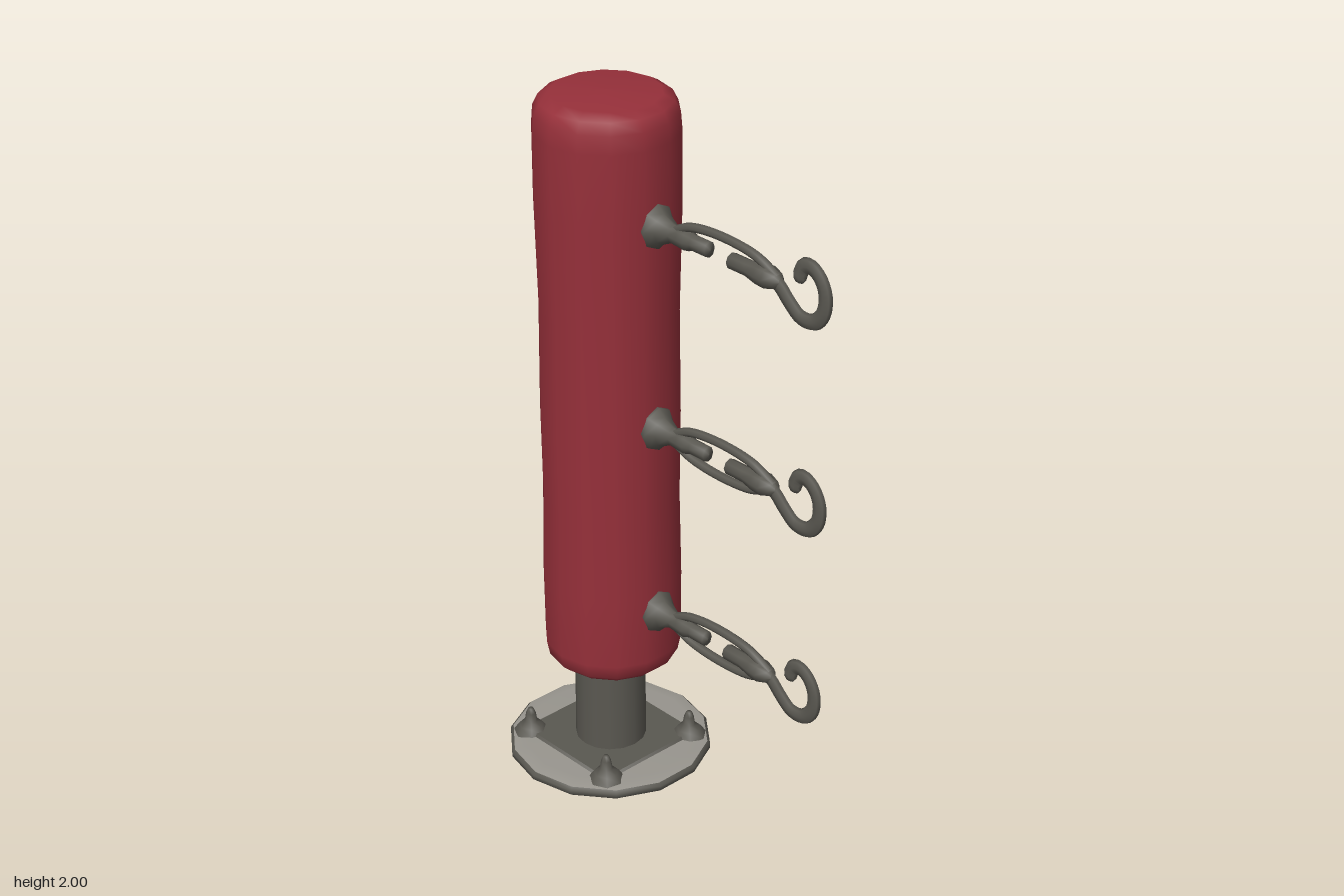
import * as THREE from 'three';

const mat = (name, color, side = THREE.FrontSide) => {
  const m = new THREE.MeshStandardMaterial({ color, side });
  m.name = name;
  return m;
};

export function createModel() {
  const model = new THREE.Group();
  const red = mat('red padding', 0x96303a);
  const steel = mat('dark steel', 0x5a5851);
  const pale = mat('worn steel', 0x98958e);

  const add = (parent, name, geo, material, x = 0, y = 0, z = 0) => {
    const m = new THREE.Mesh(geo, material);
    m.name = name;
    m.position.set(x, y, z);
    parent.add(m);
    return m;
  };
  const lathe = (pts, n) => new THREE.LatheGeometry(pts.map(p => new THREE.Vector2(...p)), n);

  // Padded column with soft ends and slightly uneven sides
  const pad = lathe([[0, 0.325], [0.11, 0.325], [0.16, 0.33], [0.182, 0.35], [0.19, 0.39], [0.192, 0.6],
    [0.187, 0.85], [0.19, 1.1], [0.187, 1.4], [0.194, 1.7], [0.194, 1.9], [0.19, 1.95],
    [0.175, 1.98], [0.145, 1.996], [0, 2.0]], 14);
  add(model, 'paddedColumn', pad, red, -0.247);

  // Post and round foot
  add(model, 'post', new THREE.CylinderGeometry(0.098, 0.1, 0.32, 16, 1, true), steel, -0.26, 0.19);
  const cx = -0.265;
  add(model, 'footRim', lathe([[0, 0.005], [0.275, 0.005], [0.288, 0.015], [0.288, 0.028], [0.28, 0.036]], 14), steel, cx);
  add(model, 'footTop', lathe([[0.28, 0.036], [0.24, 0.044], [0, 0.046]], 14), pale, cx);
  // Square dark plate reaching out to the four bolts
  add(model, 'footPlate', new THREE.CylinderGeometry(0.24, 0.25, 0.008, 4), steel, cx, 0.047).rotation.y = Math.PI / 4;

  // Spiked bolts
  for (const sx of [-1, 1]) for (const sz of [-1, 1]) {
    add(model, 'bolt', lathe([[0.05, 0.04], [0.035, 0.062], [0.018, 0.075], [0.014, 0.1], [0.008, 0.115], [0, 0.116]], 7),
      steel, cx + sx * 0.16, 0, sz * 0.158);
  }

  // Tube through points in the xy plane, flattened in z
  const bar = (pts, r, flat) => {
    const curve = new THREE.CatmullRomCurve3(pts.map(([x, y]) => new THREE.Vector3(x, y, 0)));
    return new THREE.TubeGeometry(curve, pts.length * 3, r, 7, false).scale(1, 1, flat);
  };
  // Solid of revolution along x, as [x, radius] pairs, scaled in z
  const spindle = (pts, flat) =>
    lathe(pts.map(([x, r]) => [r, -x]).reverse(), 8).rotateZ(Math.PI / 2).scale(1, 1, flat);

  // Turnbuckle hooks: wall flare, open link, hook
  const makeHook = (y, lower) => {
    const g = new THREE.Group();
    g.name = 'hookArm';
    g.position.y = y;
    const flare = new THREE.CatmullRomCurve3([]);
    add(g, 'wallFlare', spindle([[-0.09, 0], [-0.09, 0.066], [-0.055, 0.062], [-0.035, 0.042],
      [0, 0.026], [0.03, 0.028], [0.055, 0.03], [0.075, 0.022], [0.13, 0.022], [0.135, 0]], 0.85), steel, 0, -0.004);
    add(g, 'innerStub', spindle([[0.205, 0], [0.21, 0.022], [0.27, 0.022], [0.31, 0.03],
      [0.34, 0.032], [0.37, 0.022], [0.39, 0]], 0.95), steel, 0, -0.006);
    add(g, 'linkTop', bar([[0.01, 0.01], [0.06, 0.033], [0.13, 0.045], [0.23, 0.045], [0.3, 0.034], [0.37, 0.003]], 0.012, 1.1), steel);
    if (lower) {
      add(g, 'linkBottom', bar([[0.01, -0.02], [0.06, -0.038], [0.13, -0.048], [0.23, -0.048], [0.3, -0.038], [0.36, -0.01]], 0.012, 1.1), steel);
    }
    const pts = [[0.34, -0.002], [0.375, -0.015], [0.41, -0.047], [0.45, -0.075], [0.495, -0.072], [0.526, -0.035],
      [0.53, 0.015], [0.51, 0.053], [0.48, 0.07], [0.455, 0.062], [0.443, 0.035]];
    add(g, 'hook', bar(pts, 0.022, 0.5), steel);
    const tip = add(g, 'hookTip', new THREE.SphereGeometry(0.022, 7, 5), steel, 0.443, 0.035);
    tip.scale.z = 0.5;
    model.add(g);
  };
  makeHook(1.69, false);
  makeHook(1.11, true);
  makeHook(0.545, true);

  return model;
}
